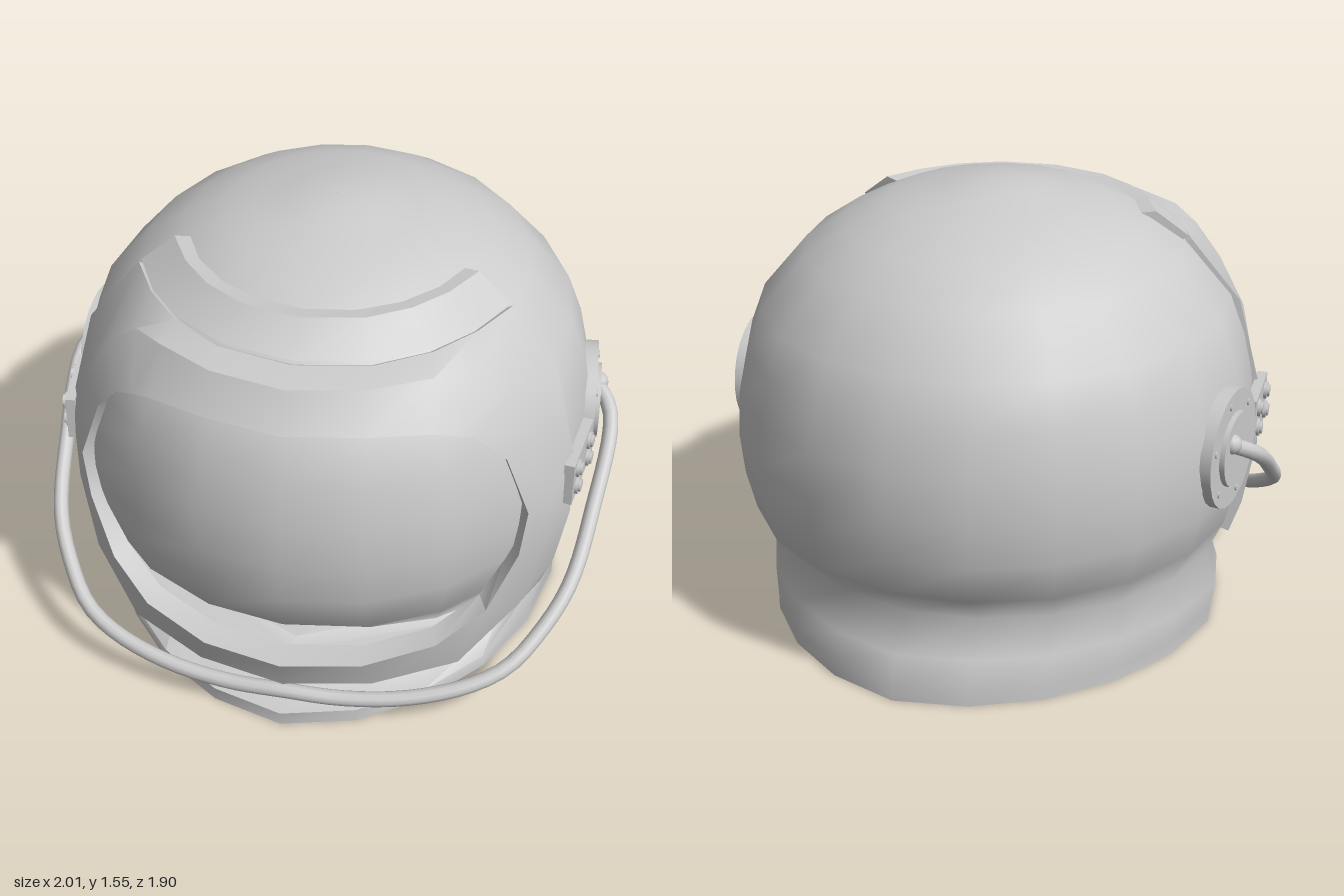
import * as THREE from 'three';
import { toCreasedNormals } from 'three/addons/utils/BufferGeometryUtils.js';

const grey = new THREE.MeshStandardMaterial({ color: 0xcccccc });
const greyThin = new THREE.MeshStandardMaterial({ color: 0xcccccc, side: THREE.DoubleSide });

// Skin a list of equally long rings of [x, y, z] points
function loft(rings, crease) {
  const n = rings[0].length, index = [];
  for (let i = 0; i < rings.length - 1; i++) {
    for (let j = 0; j < n - 1; j++) {
      const a = i * n + j, b = a + 1, c = b + n, d = a + n;
      index.push(a, b, c, a, c, d);
    }
  }
  const geo = new THREE.BufferGeometry();
  geo.setAttribute('position', new THREE.Float32BufferAttribute(rings.flat(2), 3));
  geo.setIndex(index);
  return toCreasedNormals(geo, crease);
}

function add(parent, name, geo, material = grey) {
  const mesh = new THREE.Mesh(geo, material);
  mesh.name = name;
  parent.add(mesh);
  return mesh;
}

const mirror = ([x, y, z]) => [-x, y, z];

// Hollow body: inner dome, flat underside, collar, neck and outer dome.
// Each row: half width, back depth, front depth, y, y at the front, diagonal squeeze
function shellGeometry() {
  const rows = [
    [0.001, 0.001, 0.001, 1.48], [0.4, 0.4, 0.4, 1.42], [0.72, 0.75, 0.7, 1.17],
    [0.82, 0.88, 0.85, 0.7], [0.77, 0.82, 0.8, 0.42], [0.6, 0.6, 0.54, 0.2, 0.14],
    [0.57, 0.57, 0.57, 0],
    [0.82, 0.9, 0.95, 0, 0, 0.04], [0.82, 0.9, 0.95, 0.05, 0.05, 0.04],
    [0.84, 0.87, 0.72, 0.16, 0.06, 0.04], [0.8, 0.78, 0.62, 0.28, 0.155, 0.02],
  ];
  const dome = [[0.9, 0.41], [0.935, 0.55], [0.95, 0.7], [0.94, 0.86], [0.905, 1.01],
    [0.85, 1.15], [0.69, 1.33], [0.55, 1.42], [0.39, 1.49], [0.29, 1.508],
    [0.18, 1.537], [0.08, 1.55], [0.001, 1.555]];
  for (const [r, y] of dome) rows.push([r * 0.955, r, r * 0.98, y]);
  const sides = 20;
  const rings = rows.map(([rx, back, front, y, yFront = y, squeeze = 0]) => {
    const ring = [];
    for (let j = 0; j <= sides; j++) {
      const t = (j % sides) / sides * Math.PI * 2, c = Math.cos(t);
      const f = THREE.MathUtils.smoothstep(c, 0.25, 0.65);
      const k = 1 - squeeze * Math.abs(Math.sin(2 * t));
      ring.push([k * rx * Math.sin(t), y + (yFront - y) * f, k * c * (c > 0 ? front : back)]);
    }
    return ring;
  });
  return loft(rings, 1.48);
}

// Frame around the visor opening: half rings from top centre to bottom centre
function frameGeometry() {
  const lip = [[0, 1.21, 0.88], [0.27, 1.21, 0.83], [0.45, 1.19, 0.75], [0.52, 1.165, 0.71],
    [0.585, 1.13, 0.665], [0.68, 1.01, 0.605], [0.76, 0.78, 0.585], [0.74, 0.6, 0.595],
    [0.65, 0.4, 0.67], [0.5, 0.32, 0.79], [0.27, 0.285, 0.9], [0, 0.28, 0.95]];
  const brim = [[0, 1.33, 0.8], [0.25, 1.33, 0.75], [0.44, 1.325, 0.64], [0.55, 1.3, 0.54],
    [0.66, 1.2, 0.49], [0.76, 1.04, 0.47], [0.825, 0.76, 0.465], [0.82, 0.58, 0.475],
    [0.745, 0.34, 0.56], [0.57, 0.18, 0.71], [0.3, 0.16, 0.85], [0, 0.155, 0.91]];
  const rear = [[0, 1.345, 0.69], [0.25, 1.345, 0.64], [0.42, 1.345, 0.53], [0.54, 1.345, 0.39],
    [0.63, 1.345, 0.23], [0.8, 1.13, 0.275], [0.88, 0.8, 0.305], [0.88, 0.58, 0.315],
    [0.84, 0.34, 0.3], [0.8, 0.22, 0.29], [0.62, 0.155, 0.45], [0, 0.15, 0.74]];
  const reveal = lip.map(([x, y, z]) => [x * 0.95, y, z * 0.89]);
  const tuck = rear.map(([x, y, z]) => [x * 0.94, 0.7 + (y - 0.7) * 0.96, z * 0.94]);
  const rings = [reveal, lip, brim, rear, tuck].map((half) =>
    [...half, ...half.slice(0, -1).reverse().map(mirror)]);
  return loft(rings, 0.65);
}

// Raised band over the brow, with its ends tucked into the shell
function browGeometry() {
  const base = [[0, 1.355, 0.68], [0.24, 1.355, 0.635], [0.41, 1.355, 0.53], [0.53, 1.355, 0.4],
    [0.62, 1.355, 0.23], [0.54, 1.3, 0.2]];
  const top = [[0, 1.44, 0.565], [0.2, 1.44, 0.525], [0.335, 1.44, 0.44], [0.435, 1.44, 0.33],
    [0.51, 1.44, 0.195], [0.43, 1.38, 0.16]];
  const foot = base.map(([x, y, z]) => [x * 0.9, y - 0.03, z * 0.9]);
  const inner = top.map(([x, y, z]) => [x * 0.85, y - 0.01, z * 0.85]);
  const rings = [foot, base, top, inner].map((half) =>
    [...half.slice(1).reverse().map(mirror), ...half]);
  return loft(rings, 0.6);
}

// Pivot disc with screws and a bolted bracket, s = +1 left or -1 right
function sideFittings(s) {
  const group = new THREE.Group();
  group.name = s > 0 ? 'leftFittings' : 'rightFittings';
  const mount = (name, x, y, z, turn) => {
    const part = new THREE.Group();
    part.name = name;
    part.position.set(s * x, y, z);
    part.rotation.y = s * turn;
    group.add(part);
    return part;
  };
  const disc = (parent, name, r, x0, x1, y, z, sides) => {
    const mesh = add(parent, name, new THREE.CylinderGeometry(r, r, x1 - x0, sides));
    mesh.rotation.z = Math.PI / 2;
    mesh.position.set(s * (x0 + x1) / 2, y, z);
  };
  const pivot = mount('pivot', 0.907, 0.75, -0.105, 0.08);
  disc(pivot, 'pivotDisc', 0.21, -0.05, 0, 0, 0, 24);
  disc(pivot, 'pivotHub', 0.132, -0.03, 0.018, 0, 0, 24);
  for (let i = 0; i < 6; i++) {
    const a = Math.PI / 4 + i * Math.PI / 3;
    disc(pivot, 'discScrew', 0.012, -0.01, 0.006, 0.172 * Math.sin(a), 0.172 * Math.cos(a), 8);
  }
  const bracket = mount('bracket', 0.886, 0.748, 0.245, -0.13);
  add(bracket, 'bracketPlate', new THREE.BoxGeometry(0.035, 0.165, 0.27));
  for (const y of [-0.037, 0.037]) {
    for (const z of [-0.078, 0.078]) {
      disc(bracket, 'bracketBolt', 0.031, 0, 0.028, y, z, 14);
      disc(bracket, 'boltHead', 0.022, 0.02, 0.036, y, z, 14);
    }
  }
  return group;
}

// Swing bar running from one pivot around the chin to the other
function chinBar(group) {
  const half = [[0.89, 0.8, -0.18], [0.97, 0.73, -0.07], [0.953, 0.53, 0.24], [0.91, 0.38, 0.47],
    [0.83, 0.28, 0.62], [0.74, 0.21, 0.73], [0.62, 0.165, 0.8], [0.42, 0.125, 0.86],
    [0.2, 0.108, 0.89], [0, 0.115, 0.9]];
  const pts = [...half, ...half.slice(0, -1).reverse().map(mirror)];
  const path = new THREE.CatmullRomCurve3(pts.map((p) => new THREE.Vector3(...p)), false, 'centripetal');
  add(group, 'chinBar', new THREE.TubeGeometry(path, 72, 0.027, 10));
  for (const s of [1, -1]) {
    const end = add(group, 'chinBarEnd', new THREE.SphereGeometry(0.035, 12, 8));
    end.position.set(s * 0.915, 0.79, -0.16);
  }
}

export function createModel() {
  const model = new THREE.Group();
  model.name = 'helmet';
  add(model, 'shell', shellGeometry());
  add(model, 'visorFrame', frameGeometry(), greyThin);
  add(model, 'browBand', browGeometry(), greyThin);
  model.add(sideFittings(1), sideFittings(-1));
  chinBar(model);
  return model;
}
